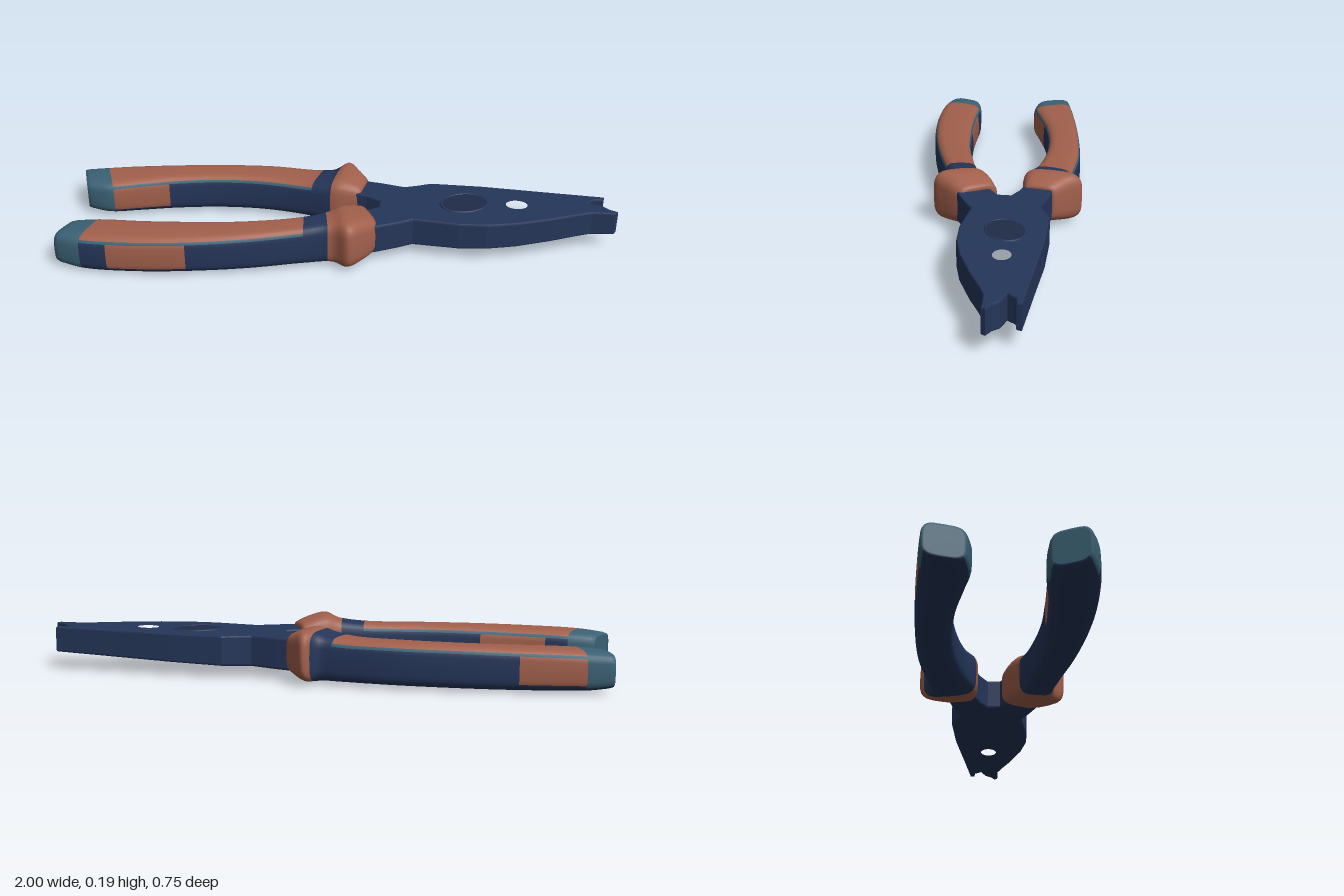
import * as THREE from 'three';

const NAVY = 0x25365a, ORANGE = 0xa2604c, TEAL = 0x3b6275;
const mat = (color) => new THREE.MeshStandardMaterial({ color });

// Rounded-box loft between two edge curves.
// Each row: [back x, back z, front x, front z, bottom y, top y]; paint() picks a material per face.
function loft(name, rows, paint) {
  const back = new THREE.CatmullRomCurve3(rows.map((r) => new THREE.Vector3(r[0], r[4], r[1])));
  const front = new THREE.CatmullRomCurve3(rows.map((r) => new THREE.Vector3(r[2], r[5], r[3])));
  const perRow = 6, sides = 28, steps = (rows.length - 1) * perRow;
  const pos = [], buckets = [[], [], []];
  const soft = (v) => Math.sign(v) * Math.abs(v) ** 0.5;

  const ring = (t, scale) => {
    const a = back.getPoint(t), b = front.getPoint(t);
    for (let j = 0; j < sides; j++) {
      const ang = (j / sides) * Math.PI * 2;
      const u = 0.5 + 0.5 * scale * soft(Math.cos(ang));
      const v = 0.5 + 0.5 * scale * soft(Math.sin(ang));
      pos.push(a.x + (b.x - a.x) * u, a.y + (b.y - a.y) * v, a.z + (b.z - a.z) * u);
    }
  };
  // small inset rings at both ends round the rims
  ring(0, 0.85);
  for (let i = 0; i <= steps; i++) ring(i / steps, i === 0 || i === steps ? 0.96 : 1);
  ring(1, 0.85);

  const rings = steps + 3;
  for (let i = 0; i < rings - 1; i++) {
    for (let j = 0; j < sides; j++) {
      const k = (j + 1) % sides, p = i * sides, q = p + sides;
      const ang = ((j + 0.5) / sides) * Math.PI * 2;
      const x = (pos[3 * p] + pos[3 * (p + sides / 2)]) / 2;
      buckets[paint(x, Math.cos(ang), Math.sin(ang))].push(p + j, p + k, q + k, p + j, q + k, q + j);
    }
  }
  // end caps
  const last = (rings - 1) * sides;
  for (const [start, flip] of [[0, true], [last, false]]) {
    const base = pos.length / 3, c = [0, 0, 0];
    for (let j = 0; j < sides; j++) {
      const p = pos.slice((start + j) * 3, (start + j) * 3 + 3);
      pos.push(...p);
      p.forEach((v, n) => { c[n] += v / sides; });
    }
    pos.push(...c);
    for (let j = 0; j < sides; j++) {
      const a = base + j, b = base + ((j + 1) % sides);
      buckets[flip ? 1 : 2].push(...(flip ? [b, a] : [a, b]), base + sides);
    }
  }

  const geo = new THREE.BufferGeometry();
  geo.setAttribute('position', new THREE.Float32BufferAttribute(pos, 3));
  geo.setIndex(buckets.flat());
  let at = 0;
  buckets.forEach((b, m) => { geo.addGroup(at, b.length, m); at += b.length; });
  geo.computeVertexNormals();
  const mesh = new THREE.Mesh(geo, [mat(NAVY), mat(ORANGE), mat(TEAL)]);
  mesh.name = name;
  return mesh;
}

// Face colours: 0 navy sides, 1 orange guard and grip inlay, 2 teal end
const paintGrip = (guardX, endX, patch) => (x, c, s) => {
  if (x > guardX) return 1;
  if (x < endX) return s > -0.6 ? 2 : 0;
  if (s > 0.45 && x < guardX - 0.07) return Math.abs(c) < 0.8 ? 1 : 2;
  if (s > -0.5 && x < patch[0] && x > patch[1]) return 1;
  return 0;
};

export function createModel() {
  const group = new THREE.Group();

  // Handles with their finger guards
  group.add(loft('backHandle', [
    [0.08, -0.29, 0.075, -0.175, 0.035, 0.16],
    [0.035, -0.33, 0.04, -0.165, 0.02, 0.178],
    [-0.01, -0.368, -0.01, -0.155, 0.012, 0.187],
    [-0.05, -0.325, -0.06, -0.158, 0.012, 0.172],
    [-0.12, -0.318, -0.14, -0.17, 0.012, 0.16],
    [-0.3, -0.305, -0.29, -0.172, 0.012, 0.157],
    [-0.5, -0.265, -0.45, -0.15, 0.01, 0.154],
    [-0.68, -0.22, -0.62, -0.1, 0.008, 0.15],
    [-0.83, -0.178, -0.75, -0.045, 0.008, 0.146],
    [-0.93, -0.148, -0.85, -0.004, 0.01, 0.141],
    [-1.0, -0.125, -0.935, 0.0, 0.02, 0.135],
  ], paintGrip(-0.03, -0.86, [-0.65, -0.86])));

  group.add(loft('frontHandle', [
    [0.1, -0.09, 0.187, 0.025, 0.03, 0.165],
    [0.065, -0.065, 0.155, 0.085, 0.018, 0.183],
    [0.03, -0.035, 0.112, 0.14, 0.012, 0.192],
    [0.0, -0.01, 0.045, 0.115, 0.012, 0.175],
    [-0.08, 0.032, -0.05, 0.148, 0.012, 0.162],
    [-0.28, 0.11, -0.22, 0.225, 0.01, 0.157],
    [-0.45, 0.152, -0.4, 0.292, 0.008, 0.154],
    [-0.62, 0.185, -0.6, 0.345, 0.004, 0.15],
    [-0.78, 0.208, -0.8, 0.372, 0.002, 0.145],
    [-0.868, 0.23, -0.9, 0.362, 0.01, 0.136],
  ], paintGrip(0.015, -0.77, [-0.45, -0.7])));

  // Head: both necks and jaws cut from one plate, thinning towards the tip
  const outline = [
    [0.0, -0.28], [0.13, -0.278], [0.22, -0.27], [0.26, -0.29], [0.31, -0.32], [0.5, -0.345],
    [0.72, -0.36], [0.94, -0.376], [0.938, -0.358], [0.905, -0.348], [0.888, -0.32],
    [0.94, -0.312], [0.965, -0.293], [0.997, -0.283], [0.99, -0.268], [0.91, -0.253],
    [0.86, -0.225], [0.78, -0.175], [0.66, -0.11], [0.56, -0.072], [0.46, -0.053],
    [0.3, -0.047], [0.25, -0.01], [0.18, 0.035], [0.1, 0.07], [0.04, 0.02], [0.12, -0.07],
    [0.16, -0.105], [0.155, -0.15], [0.1, -0.168], [0.0, -0.18],
  ].map(([x, z]) => new THREE.Vector2(x, -z));
  const shape = new THREE.Shape(outline);
  const hole = new THREE.Path();
  hole.absellipse(0.64, 0.24, 0.044, 0.035, 0, Math.PI * 2, true, 0.15);
  shape.holes.push(hole);
  const headGeo = new THREE.ExtrudeGeometry(shape, {
    depth: 0.096, bevelThickness: 0.007, bevelSize: 0.005, bevelOffset: -0.005, bevelSegments: 2, curveSegments: 20,
  }).rotateX(-Math.PI / 2);
  const p = headGeo.attributes.position;
  for (let i = 0; i < p.count; i++) {
    const x = p.getX(i), t = (p.getY(i) + 0.007) / 0.11;
    const bottom = 0.034 + 0.032 * Math.max(0, x), top = 0.147 + 0.008 * x;
    p.setY(i, bottom + (top - bottom) * t);
  }
  headGeo.computeVertexNormals();
  const head = new THREE.Mesh(headGeo, mat(NAVY));
  head.name = 'jawHead';
  group.add(head);

  // Oval pivot joint: low disc with a rim
  const pivot = new THREE.Group();
  pivot.name = 'pivot';
  const disc = new THREE.Mesh(new THREE.CylinderGeometry(0.07, 0.074, 0.006, 32), mat(0x1f2c48));
  disc.name = 'pivotDisc';
  const rim = new THREE.Mesh(new THREE.TorusGeometry(0.074, 0.005, 8, 40).rotateX(Math.PI / 2), mat(NAVY));
  rim.name = 'pivotRim';
  pivot.add(disc, rim);
  pivot.scale.set(1.15, 1, 0.85);
  pivot.rotation.y = 0.5;
  pivot.position.set(0.455, 0.15, -0.205);
  group.add(pivot);

  return group;
}
